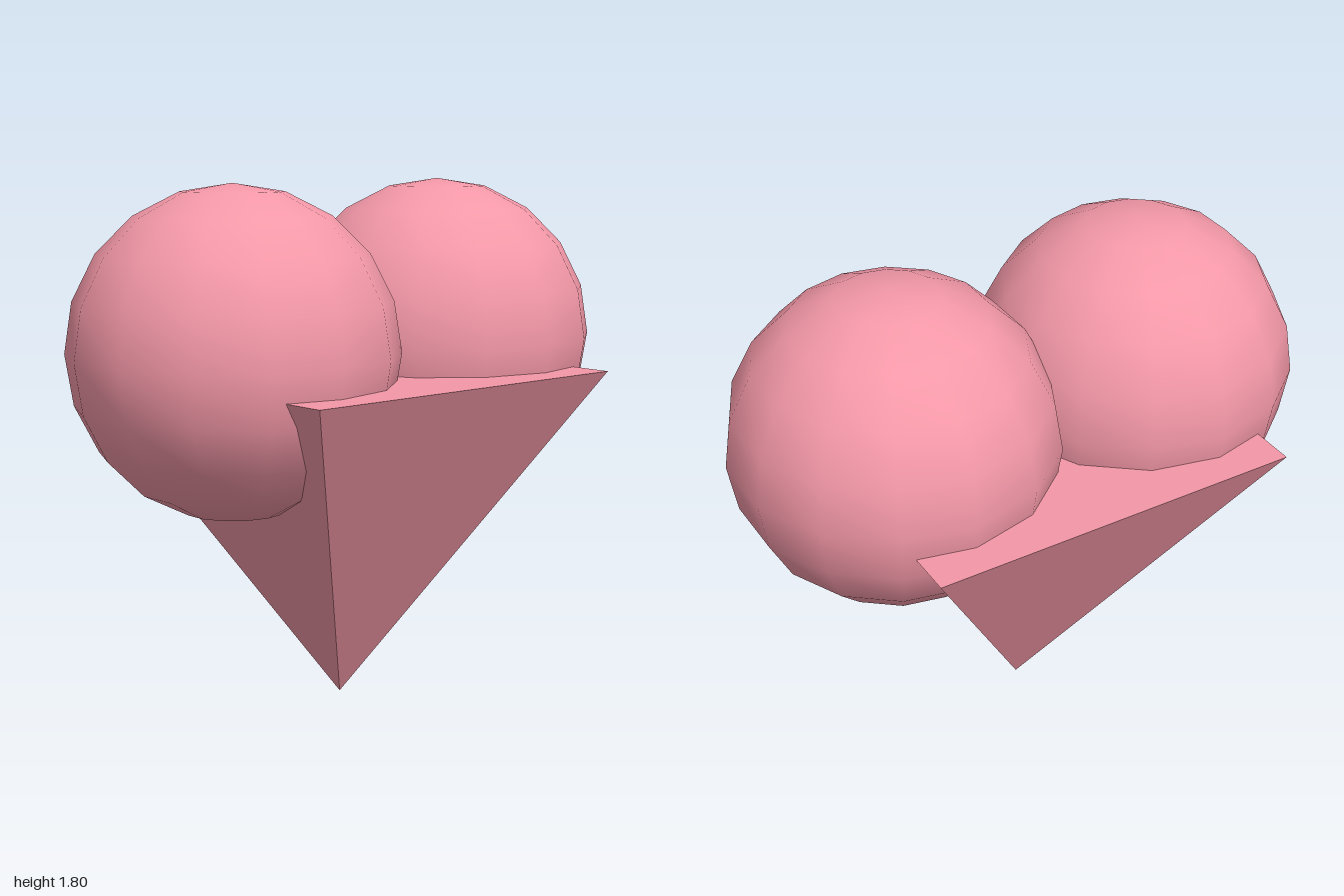
import * as THREE from 'three';

export function createModel() {
  const model = new THREE.Group();
  const color = 0xf498a8;
  const smooth = new THREE.MeshStandardMaterial({ color });
  const faceted = new THREE.MeshStandardMaterial({ color, flatShading: true });

  // Two overlapping round lobes, with facets turned toward the sides
  const lobeGeometry = new THREE.SphereGeometry(0.5525, 14, 10).rotateY(Math.PI / 2);
  for (const [name, side] of [['leftLobe', 1], ['rightLobe', -1]]) {
    const lobe = new THREE.Mesh(lobeGeometry, smooth);
    lobe.name = name;
    lobe.position.set(side * 0.461, 1.2475, 0);
    model.add(lobe);
  }

  // Upside-down square pyramid standing on its tip
  const height = 1.155;
  const pyramidGeometry = new THREE.ConeGeometry(0.65 * Math.SQRT2, height, 4)
    .rotateY(Math.PI / 4)
    .rotateX(Math.PI);
  const point = new THREE.Mesh(pyramidGeometry, faceted);
  point.name = 'lowerPoint';
  point.position.y = height / 2;
  model.add(point);

  return model;
}
